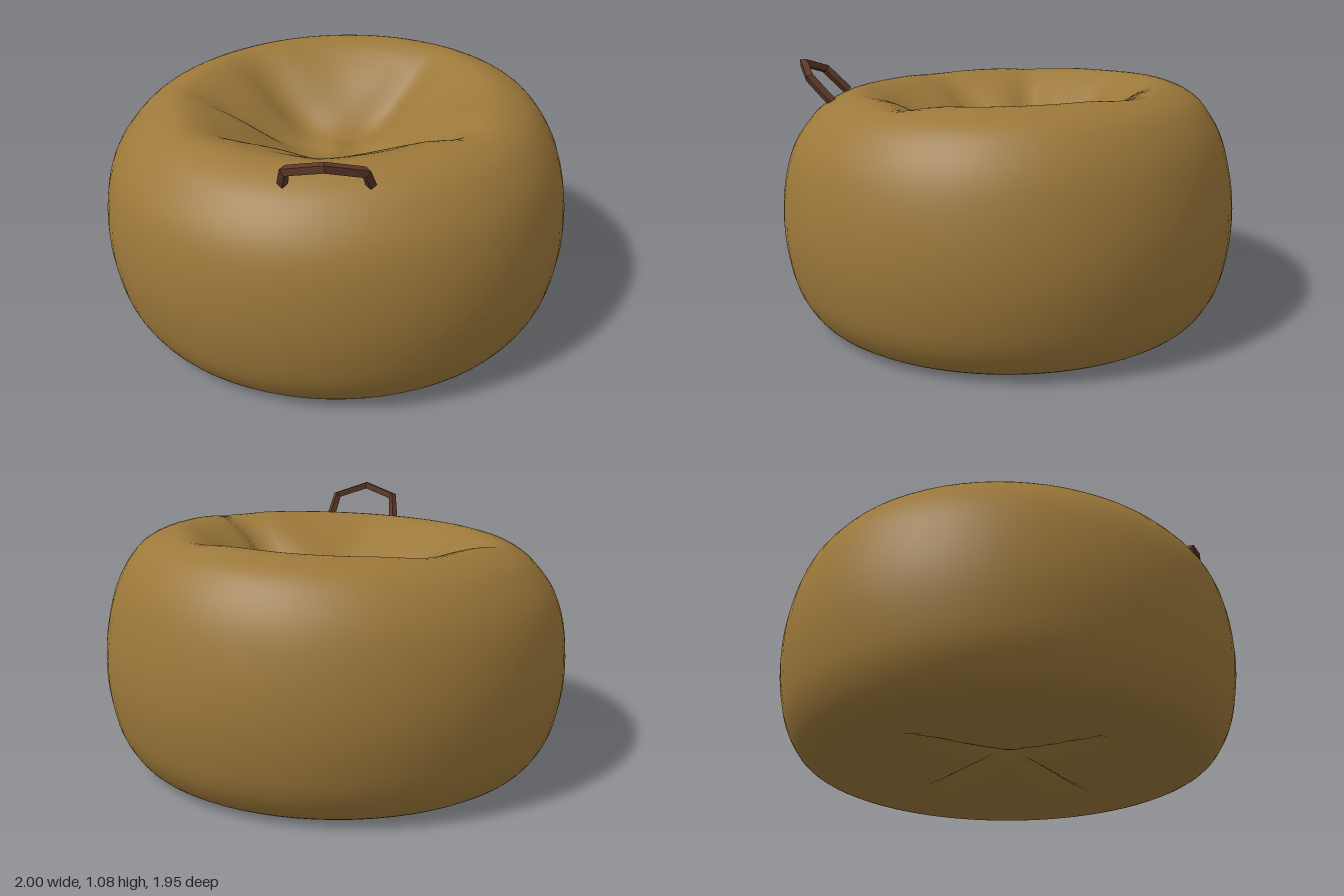
import * as THREE from 'three';
import { mergeVertices } from 'three/addons/utils/BufferGeometryUtils.js';

const fabric = new THREE.MeshStandardMaterial({ color: 0x9c783a });
fabric.name = 'ochre fabric';
const strap = new THREE.MeshStandardMaterial({ color: 0x5c3828 });
strap.name = 'brown strap';

// A groove running outward from the centre: 1 on its line, fading to the sides and at both ends
function groove(x, z, dirX, dirZ, width, start, end) {
  const length = Math.hypot(dirX, dirZ);
  const along = (x * dirX + z * dirZ) / length;
  const across = (x * dirZ - z * dirX) / length;
  if (along <= start || along >= end) return 0;
  return Math.sin(Math.PI * (along - start) / (end - start)) * Math.exp(-((across / width) ** 2));
}

// Folds of the seat: direction x, z, depth, width, end
const seatFolds = [
  [0.45, -0.48, 0.07, 0.1, 0.72],
  [-0.4, -0.45, 0.06, 0.1, 0.7],
  [-0.62, -0.08, 0.06, 0.08, 0.72],
  [0.5, 0.36, 0.09, 0.09, 0.74],
  [-0.45, 0.3, 0.04, 0.09, 0.72],
  [-0.05, 0.6, 0.02, 0.1, 0.65],
];

// Puckered seams under the base
const baseFolds = [[1, 0.9], [-1, 1.1], [-0.9, -1], [1, -1]];

function createCushion() {
  // Outline from the middle of the base, up the side, over the rim and down into the seat
  const outline = [
    [0, 0.07], [0.15, 0.05], [0.35, 0.025], [0.6, 0.012], [0.76, 0.008], [0.86, 0.03],
    [0.92, 0.09], [0.97, 0.2], [1, 0.39], [0.99, 0.58], [0.945, 0.75], [0.87, 0.87],
    [0.79, 0.94], [0.68, 0.98], [0.59, 0.965], [0.5, 0.92], [0.4, 0.86], [0.3, 0.79],
    [0.2, 0.73], [0.1, 0.695], [0, 0.685],
  ].map(([r, y]) => new THREE.Vector2(r, y));
  const profile = new THREE.SplineCurve(outline).getPoints(80);
  profile[0].x = profile[80].x = 0;
  const geometry = new THREE.LatheGeometry(profile, 72);
  const position = geometry.attributes.position;

  for (let i = 0; i < position.count; i++) {
    const x = position.getX(i);
    let y = position.getY(i);
    let z = position.getZ(i);
    const r = Math.hypot(x, z);
    if (y > 0.6) {
      // Uneven rim, higher at the back and left
      const top = THREE.MathUtils.smoothstep(y, 0.6, 0.95);
      y += top * (0.032 * x - 0.03 * z);
      if (r < 0.78) {
        for (const [fx, fz, depth, width, end] of seatFolds) {
          y -= depth * groove(x, z, fx, fz, width, 0.02, end);
        }
        // Lowest point of the seat sits behind the middle
        z -= 0.1 * (1 - THREE.MathUtils.smoothstep(r, 0, 0.75));
      }
    } else if (y < 0.1 && r < 0.75) {
      for (const [fx, fz] of baseFolds) {
        y += 0.05 * groove(x, z, fx, fz, 0.05, -0.1, 0.6);
      }
    }
    position.setXYZ(i, x, Math.max(y, 0), z * 0.975);
  }

  // Weld the seam so the shading is smooth all round
  geometry.deleteAttribute('uv');
  geometry.deleteAttribute('normal');
  const welded = mergeVertices(geometry, 1e-4);
  welded.computeVertexNormals();
  const mesh = new THREE.Mesh(welded, fabric);
  mesh.name = 'cushion';
  return mesh;
}

// Straight runs between points, with mitred corners
class Polyline extends THREE.Curve {
  constructor(points) {
    super();
    this.points = points;
  }
  getPoint(t, target = new THREE.Vector3()) {
    const runs = this.points.length - 1;
    const i = Math.min(Math.floor(t * runs + 1e-9), runs - 1);
    return target.lerpVectors(this.points[i], this.points[i + 1], t * runs - i);
  }
  getPointAt(t, target) {
    return this.getPoint(t, target);
  }
  getTangentAt(t, target) {
    return this.getTangent(t, target);
  }
}

function createHandle() {
  const path = [
    [-0.16, 0.925, 0.735], [-0.142, 1.025, 0.83], [0, 1.07, 0.89],
    [0.142, 1.025, 0.83], [0.16, 0.925, 0.735],
  ].map((p) => new THREE.Vector3(...p));
  const geometry = new THREE.TubeGeometry(new Polyline(path), 4, 0.021, 4).toNonIndexed();
  geometry.computeVertexNormals();
  const mesh = new THREE.Mesh(geometry, strap);
  mesh.name = 'carryHandle';
  return mesh;
}

export function createModel() {
  const model = new THREE.Group();
  model.name = 'beanbag';
  model.add(createCushion(), createHandle());
  return model;
}
